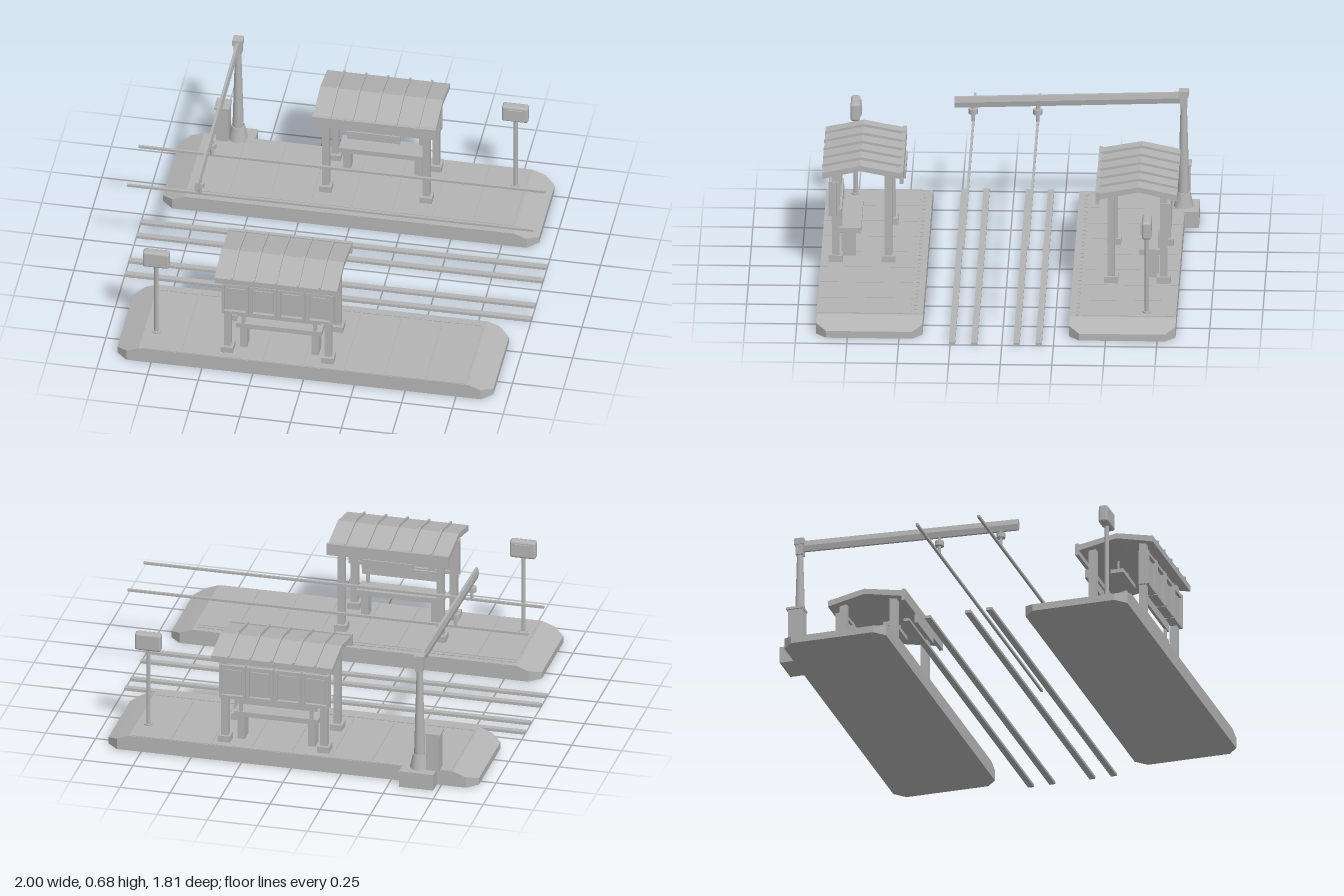
import * as THREE from 'three';
import { ConvexGeometry } from 'three/addons/geometries/ConvexGeometry.js';
import { RoundedBoxGeometry } from 'three/addons/geometries/RoundedBoxGeometry.js';

const grey = new THREE.MeshStandardMaterial({ color: 0xb4b4b4 });
grey.name = 'concrete grey';

function add(parent, name, geometry, x = 0, y = 0, z = 0) {
  const mesh = new THREE.Mesh(geometry, grey);
  mesh.name = name;
  mesh.position.set(x, y, z);
  parent.add(mesh);
  return mesh;
}

// Box given by its lower and upper limits on each axis
function box(parent, name, [x0, x1], [y0, y1], [z0, z1]) {
  return add(parent, name, new THREE.BoxGeometry(x1 - x0, y1 - y0, z1 - z0),
    (x0 + x1) / 2, (y0 + y1) / 2, (z0 + z1) / 2);
}

const around = (c, half) => [c - half, c + half];

// Extrudes a [z, y] outline along x, centred on x = 0
function extrudeX(points, width) {
  const shape = new THREE.Shape(points.map(([z, y]) => new THREE.Vector2(z, y)));
  const g = new THREE.ExtrudeGeometry(shape, { depth: width, bevelEnabled: false });
  g.translate(0, 0, -width / 2);
  g.rotateY(-Math.PI / 2);
  return g;
}

// Slab with cut corners and sloping ends
function platform(parent) {
  const pts = [];
  for (const sx of [-1, 1]) for (const sz of [-1, 1]) {
    for (const [x, y, z] of [[0.81, 0.078, 0.258], [0.872, 0.055, 0.258], [0.925, 0.035, 0.208],
      [0.872, 0, 0.258], [0.925, 0, 0.208]]) pts.push(new THREE.Vector3(sx * x, y, sz * z));
  }
  add(parent, 'platformSlab', new ConvexGeometry(pts));
  // Paving slabs with narrow joints
  for (let i = 0; i < 8; i++) {
    box(parent, 'pavingSlab', around(-0.7 + i * 0.2, 0.098), [0.077, 0.081], [-0.2, 0.255]);
  }
  // Tactile edge blocks on the track side
  for (let i = 0; i < 32; i++) {
    box(parent, 'tactileBlock', around(-0.775 + i * 0.05, 0.019), [0.077, 0.082], [-0.228, -0.212]);
  }
}

function shelter(parent, cx) {
  const g = new THREE.Group();
  g.name = 'shelter';
  g.position.x = cx;
  parent.add(g);

  // Posts on square feet
  for (const x of [-0.2475, 0.2475]) for (const z of [-0.07, 0.185]) {
    box(g, 'shelterPost', around(x, 0.017), [0.1, z > 0 ? 0.54 : 0.55], around(z, 0.018));
    box(g, 'postFoot', around(x, 0.03), [0.078, 0.113], around(z, 0.034));
  }

  // Gabled roof with standing ribs
  add(g, 'roof', extrudeX([[0.25, 0.553], [0.065, 0.592], [-0.135, 0.555], [-0.135, 0.525],
    [0.065, 0.565], [0.25, 0.522]], 0.604));
  const rib = extrudeX([[0.252, 0.563], [0.065, 0.605], [-0.138, 0.567], [-0.138, 0.55],
    [0.065, 0.588], [0.252, 0.548]], 0.01);
  for (let i = -2; i <= 2; i++) add(g, 'roofRib', rib, i * 0.108);
  box(g, 'gutter', [-0.305, 0.305], [0.503, 0.563], [-0.143, -0.125]);
  box(g, 'nameBoard', [-0.13, 0.13], [0.46, 0.503], [-0.15, -0.135]);
  box(g, 'hangingLamp', [-0.1, 0.1], [0.48, 0.5], [-0.028, 0.035]);
  for (const x of [-0.07, 0.07]) box(g, 'lampHanger', around(x, 0.004), [0.5, 0.575], around(0.003, 0.004));

  // Rear wall of four framed panels
  box(g, 'rearWall', [-0.275, 0.28], [0.318, 0.495], [0.182, 0.2]);
  for (let i = 0; i < 4; i++) {
    const x = -0.207 + i * 0.139;
    for (const s of [-1, 1]) {
      box(g, 'panelSideFrame', around(x + s * 0.059, 0.006), [0.318, 0.495], [0.168, 0.22]);
    }
    for (const y of [0.325, 0.485]) {
      box(g, 'panelCrossFrame', around(x, 0.065), around(y, 0.008), [0.17, 0.216]);
    }
    box(g, 'posterPanel', around(x, 0.046), [0.345, 0.465], [0.177, 0.206]);
  }

  // Bench with slab legs and a back rail
  box(g, 'benchSeat', [-0.21, 0.21], [0.204, 0.231], [0.064, 0.17]);
  box(g, 'benchBack', [-0.205, 0.205], [0.275, 0.325], [0.158, 0.172]);
  for (const x of [-0.176, 0.176]) {
    box(g, 'benchLeg', around(x, 0.018), [0.078, 0.205], [0.09, 0.16]);
    box(g, 'benchBackBracket', around(x, 0.008), [0.225, 0.3], [0.155, 0.168]);
  }
}

// Stop sign on a round pole, facing the track
function stopSign(parent) {
  const g = new THREE.Group();
  g.name = 'stopSign';
  g.position.set(-0.75, 0, 0.115);
  parent.add(g);
  add(g, 'signPole', new THREE.CylinderGeometry(0.011, 0.011, 0.42, 12), 0, 0.285, 0);
  add(g, 'signFoot', new THREE.CylinderGeometry(0.02, 0.02, 0.01, 12), 0, 0.083, 0);
  add(g, 'signHead', new RoundedBoxGeometry(0.13, 0.09, 0.046, 2, 0.012), 0, 0.527, 0);
  box(g, 'signFace', [-0.036, 0.036], [0.497, 0.557], [-0.03, -0.022]);
}

// Catenary mast with its cantilever arm
function mast(parent) {
  const g = new THREE.Group();
  g.name = 'overheadMast';
  parent.add(g);
  const mx = -0.64, mz = -0.832;
  box(g, 'mastBase', [-0.727, -0.556], [0, 0.083], [-0.908, -0.806]);
  box(g, 'controlCabinet', [-0.742, -0.68], [0.078, 0.268], [-0.862, -0.788]);
  box(g, 'cabinetLid', [-0.75, -0.676], [0.268, 0.28], [-0.868, -0.784]);
  add(g, 'mastFoot', new THREE.CylinderGeometry(0.033, 0.048, 0.075, 12), mx, 0.118, mz);
  add(g, 'mastPole', new THREE.CylinderGeometry(0.014, 0.028, 0.51, 12), mx, 0.405, mz);
  box(g, 'mastCap', around(mx, 0.025), [0.652, 0.684], around(mz, 0.024));
  box(g, 'armClamp', around(mx, 0.02), [0.6, 0.655], around(mz, 0.018));

  // Six-sided arm, sloping down over the tracks
  const section = [[0.012, 0], [0.006, 0.028], [-0.006, 0.028], [-0.012, 0], [-0.006, -0.028], [0.006, -0.028]];
  const ends = [[0.278, 0.609], [-0.83, 0.646]];
  const pts = ends.flatMap(([z, y]) => section.map(([dx, dy]) => new THREE.Vector3(mx + dx, y + dy, z)));
  add(g, 'cantileverArm', new ConvexGeometry(pts));

  // Wire holders below the arm
  for (const z of [-0.125, 0.187]) {
    add(g, 'insulator', new THREE.CylinderGeometry(0.022, 0.022, 0.026, 12), mx, 0.563, z);
    add(g, 'wireHanger', new THREE.CylinderGeometry(0.008, 0.008, 0.085, 8), mx, 0.552, z);
  }
}

export function createModel() {
  const model = new THREE.Group();
  model.name = 'tramStop';

  // Two facing platforms, one turned by half a turn
  const sides = [['frontPlatform', 0.645, 0, -0.1375], ['backPlatform', -0.58, Math.PI, -0.1]];
  for (const [name, z, turn, shelterX] of sides) {
    const side = new THREE.Group();
    side.name = name;
    side.position.z = z;
    side.rotation.y = turn;
    platform(side);
    shelter(side, shelterX);
    stopSign(side);
    model.add(side);
  }

  // Rails and overhead wires
  for (const z of [-0.125, 0.187]) {
    for (const s of [-1, 1]) box(model, 'rail', [-1, 1], [0, 0.014], around(z + s * 0.054, 0.015));
    box(model, 'overheadWire', [-1, 1], [0.502, 0.514], around(z, 0.006));
  }
  mast(model);
  return model;
}
